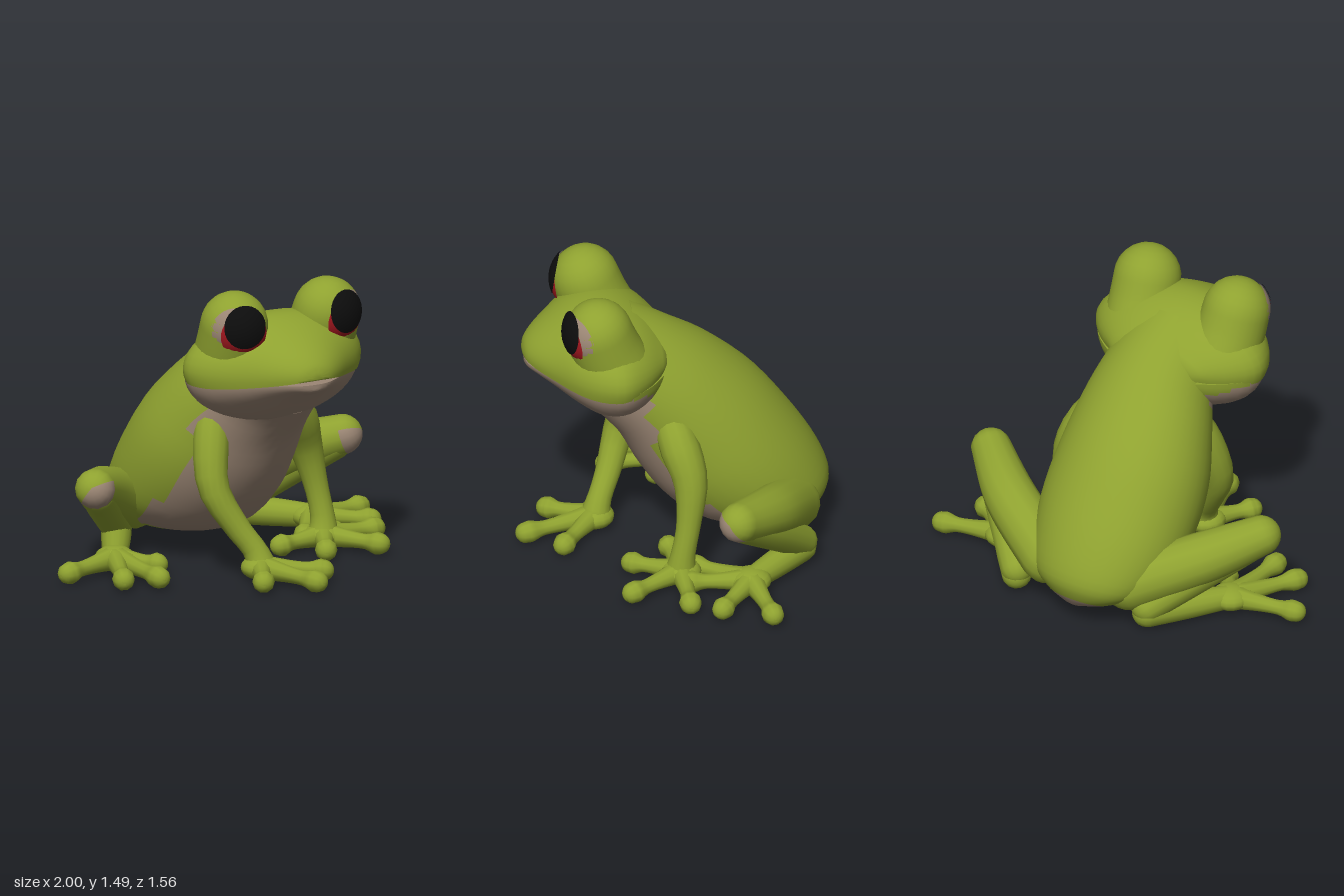
import * as THREE from 'three';
import { toCreasedNormals } from 'three/addons/utils/BufferGeometryUtils.js';

const flat = (name, color) => Object.assign(new THREE.MeshStandardMaterial({ color }), { name });
const green = flat('leaf green', 0x8fa230);
const tan = flat('belly tan', 0x9c8775);
const red = flat('iris red', 0xa3171f);
const black = flat('pupil black', 0x0d0d0d);

const V = (x, y, z) => new THREE.Vector3(x, y, z);

// Smoothly resample rows of numbers (Catmull-Rom on every column)
function smooth(rows, n) {
  const out = [];
  for (let s = 0; s <= n; s++) {
    const f = (s / n) * (rows.length - 1);
    const i = Math.min(Math.floor(f), rows.length - 2), t = f - i;
    const at = k => rows[Math.max(0, Math.min(rows.length - 1, k))];
    out.push(rows[i].map((_, c) => {
      const a = at(i - 1)[c], b = at(i)[c], d = at(i + 1)[c], e = at(i + 2)[c];
      return b + 0.5 * t * (d - a + t * (2 * a - 5 * b + 4 * d - e + t * (3 * (b - d) + e - a)));
    }));
  }
  return out;
}

// Skin over closed rings; isTan(ring, point) picks the second material
function loft(name, rings, isTan = () => false) {
  const n = rings[0].length, last = rings.length - 1;
  const pos = [], lists = [[], []];
  rings.forEach(r => r.forEach(p => pos.push(p.x, p.y, p.z)));
  for (const r of [rings[0], rings[last]]) {
    const c = r.reduce((s, p) => s.add(p), V(0, 0, 0)).divideScalar(n);
    pos.push(c.x, c.y, c.z);
  }
  const c0 = (last + 1) * n;
  for (let j = 0; j < n; j++) {
    const k = (j + 1) % n;
    lists[isTan(0, j) ? 1 : 0].push(c0, k, j);
    lists[isTan(last, j) ? 1 : 0].push(c0 + 1, last * n + j, last * n + k);
    for (let i = 0; i < last; i++) {
      const a = i * n + j, b = i * n + k;
      lists[isTan(i, j) ? 1 : 0].push(a, b, b + n, a, b + n, a + n);
    }
  }
  const g = new THREE.BufferGeometry();
  g.setAttribute('position', new THREE.Float32BufferAttribute(pos, 3));
  g.setIndex([...lists[0], ...lists[1]]);
  g.addGroup(0, lists[0].length, 0);
  g.addGroup(lists[0].length, lists[1].length, 1);
  const mesh = new THREE.Mesh(toCreasedNormals(g, 1.0), [green, tan]);
  mesh.name = name;
  return mesh;
}

// Round limb through rows of [x, y, z, radius] with domed ends
function limb(name, rows, { steps = 14, sides = 14, isTan } = {}) {
  const path = smooth(rows, steps);
  const p = path.map(r => V(r[0], r[1], r[2]));
  const run = p[steps].clone().sub(p[0]).normalize();
  const ref = Math.abs(run.y) > 0.7 ? V(0, 0, 1) : V(0, 1, 0);
  const rings = [];
  const ring = (i, shift, scale) => {
    const t = p[Math.min(steps, i + 1)].clone().sub(p[Math.max(0, i - 1)]).normalize();
    const u = ref.clone().cross(t).normalize(), v = t.clone().cross(u), r = path[i][3];
    rings.push(Array.from({ length: sides }, (_, j) => {
      const a = (j / sides) * Math.PI * 2;
      return p[i].clone().addScaledVector(t, shift * r)
        .addScaledVector(u, Math.cos(a) * r * scale).addScaledVector(v, Math.sin(a) * r * scale);
    }));
  };
  const dome = [0.2, 0.45, 0.7, 0.95, 1.2, 1.43];
  [...dome].reverse().forEach(a => ring(0, -Math.sin(a), Math.cos(a)));
  for (let i = 0; i <= steps; i++) ring(i, 0, 1);
  dome.forEach(a => ring(steps, Math.sin(a), Math.cos(a)));
  return loft(name, rings, isTan && ((i, j) => isTan(i / rings.length, ((j + 0.5) / sides) * Math.PI * 2)));
}

// Palm with thin digits that end in round pads
function hand(name, palm, tips) {
  const g = new THREE.Group();
  g.name = name;
  const pad = new THREE.Mesh(new THREE.SphereGeometry(1, 16, 10), green);
  pad.name = 'palm';
  pad.position.copy(palm);
  pad.scale.set(0.1, 0.06, 0.1);
  g.add(pad);
  tips.forEach(([x, z]) => {
    const tip = V(x, 0.07, z);
    const row = (f, r) => [...palm.clone().lerp(tip, f).toArray(), r];
    g.add(limb('digit', [row(0.1, 0.058), row(0.45, 0.043), row(0.75, 0.038), row(0.93, 0.055), row(1, 0.053)],
      { steps: 12, sides: 10 }));
  });
  return g;
}

// Trunk rows: back z, back y, belly z, belly y, half width, centre x
function trunk() {
  const rows = smooth([
    [-0.72, 0.13, -0.63, 0.1, 0.06, -0.07],
    [-0.765, 0.2, -0.52, 0.1, 0.19, -0.085],
    [-0.785, 0.3, -0.32, 0.11, 0.31, -0.085],
    [-0.72, 0.46, -0.09, 0.17, 0.385, -0.08],
    [-0.6, 0.65, 0.07, 0.31, 0.41, -0.07],
    [-0.42, 0.88, 0.18, 0.47, 0.395, -0.06],
    [-0.2, 1.08, 0.27, 0.65, 0.345, -0.03],
    [0.0, 1.215, 0.35, 0.76, 0.295, 0],
    [0.2, 1.325, 0.43, 0.85, 0.28, 0],
  ], 28);
  const n = 40;
  const rings = rows.map(([bz, by, fz, fy, w, cx]) => Array.from({ length: n }, (_, j) => {
    const a = (j / n) * Math.PI * 2, c = Math.cos(a), k = (1 + c) / 2;
    return V(cx + 0.05 * k + w * Math.sin(a), by + (fy - by) * k, bz + (fz - bz) * k);
  }));
  // Tan rump tip, a strip on each flank, then the belly
  return loft('body', rings, (i, j) => {
    const side = Math.min(j, n - 1 - j);
    if (i < 3) return true;
    if (i < 8) return side > 5 && side < 9;
    return side < (i < 13 ? 7 : i < 20 ? 6 : i < 23 ? 8 : 10);
  });
}

// Head rows: z, top y, bottom y, half width
function head() {
  const g = new THREE.Group();
  g.name = 'head';
  const rows = smooth([
    [0.05, 1.2, 0.95, 0.24], [0.15, 1.29, 0.87, 0.39], [0.27, 1.35, 0.82, 0.485],
    [0.39, 1.365, 0.825, 0.465], [0.5, 1.335, 0.89, 0.385], [0.6, 1.28, 0.96, 0.265],
    [0.68, 1.22, 1.01, 0.165], [0.725, 1.17, 1.03, 0.09], [0.74, 1.13, 1.045, 0.03],
  ], 26);
  const n = 24;
  const arc = (z, y, h, w, start, span) => Array.from({ length: n + 1 }, (_, j) => {
    const a = start + (j / n) * span;
    return V(w * Math.cos(a), y + h * Math.sin(a), z);
  });
  // The upper lip curls in a little over the narrower jaw
  const curl = 0.27;
  g.add(loft('upper head', rows.map(([z, top, , w]) => arc(z, 1.11, top - 1.11, w, -curl, Math.PI + 2 * curl))));
  g.add(loft('lower jaw', rows.map(([z, , bot, w]) => arc(z - 0.01, 1.075, 1.075 - bot, w * 0.965, Math.PI, Math.PI)),
    (i, j) => Math.sin(((j + 0.5) / n) * Math.PI) > (0.24 - rows[i][0]) * 3));

  // Eyes and nostrils on both sides
  for (const s of [1, -1]) {
    g.add(limb('eye bulge', [[s * 0.25, 1.14, 0.31, 0.18], [s * 0.26, 1.24, 0.355, 0.173],
      [s * 0.268, 1.343, 0.393, 0.167]], { sides: 28 }));
    const cap = (name, r, angle, dir, mat) => {
      const m = new THREE.Mesh(new THREE.SphereGeometry(r, 32, 12, 0, Math.PI * 2, 0, angle), mat);
      m.name = name;
      m.position.set(s * 0.26, 1.342, 0.395);
      m.quaternion.setFromUnitVectors(V(0, 1, 0), V(s * dir[0], dir[1], dir[2]).normalize());
      g.add(m);
    };
    cap('eye rim', 0.173, 0.84, [0.5, -0.1, 0.86], tan);
    cap('iris', 0.176, 0.73, [0.25, -0.14, 0.95], red);
    cap('pupil', 0.18, 0.64, [0.23, 0.14, 0.96], black);
    const nostril = new THREE.Mesh(new THREE.SphereGeometry(0.011, 8, 6), black);
    nostril.name = 'nostril';
    nostril.position.set(s * 0.08, 1.19, 0.672);
    g.add(nostril);
  }
  return g;
}

export function createModel() {
  const frog = new THREE.Group();
  frog.name = 'frog';
  frog.add(trunk(), head());

  // Front legs: the right one reaches forward
  frog.add(limb('left front leg', [[0.22, 0.85, 0.05, 0.08], [0.34, 0.7, 0.0, 0.1], [0.415, 0.54, -0.045, 0.085],
    [0.465, 0.34, -0.03, 0.061], [0.487, 0.18, 0.0, 0.06], [0.485, 0.1, 0.01, 0.075]]));
  frog.add(hand('left front foot', V(0.485, 0.08, 0.01), [[0.79, 0], [0.65, 0.27], [0.36, 0.24], [0.22, 0.04]]));
  frog.add(limb('right front leg', [[-0.2, 0.84, 0.1, 0.08], [-0.25, 0.7, 0.15, 0.09], [-0.282, 0.48, 0.22, 0.078],
    [-0.195, 0.29, 0.285, 0.064], [-0.12, 0.17, 0.34, 0.06], [-0.1, 0.1, 0.36, 0.075]]));
  frog.add(hand('right front foot', V(-0.1, 0.08, 0.37), [[0.01, 0.72], [-0.22, 0.59], [0.15, 0.55]]));

  // Hind legs: folded thigh with a pale patch at the front of the knee, shank and long foot
  const hind = (side, hip, mid, knee, ankle, palm, tips) => {
    const s = Math.sign(knee[0]);
    frog.add(limb(side + ' thigh', [[...hip, 0.14], [...mid, 0.13], [...knee, 0.1]],
      { isTan: (f, a) => f > 0.74 && Math.sin(a) < 0.3 && s * Math.cos(a) < 0.55 }));
    const between = (a, b) => a.map((v, i) => (v + b[i]) / 2);
    const bend = between(knee, ankle), arch = between(ankle, palm);
    frog.add(limb(side + ' shank', [[knee[0] - s * 0.03, knee[1] - 0.04, knee[2] - 0.02, 0.085],
      [...bend, 0.09], [...ankle, 0.08]]));
    frog.add(limb(side + ' hind instep', [[ankle[0], 0.095, ankle[2], 0.075], [arch[0], 0.09, arch[2], 0.07], [...palm, 0.058]]));
    frog.add(hand(side + ' hind foot', V(...palm), tips));
  };
  hind('left', [0.18, 0.25, -0.575], [0.5, 0.395, -0.435], [0.755, 0.495, -0.245], [0.35, 0.13, -0.6], [0.62, 0.085, -0.32],
    [[0.945, -0.39], [0.86, -0.15], [0.58, -0.02], [0.42, -0.06]]);
  hind('right', [-0.28, 0.24, -0.53], [-0.56, 0.37, -0.32], [-0.765, 0.465, -0.1], [-0.38, 0.13, -0.52], [-0.62, 0.085, -0.15],
    [[-0.945, -0.06], [-0.78, 0.19], [-0.61, 0.25], [-0.48, 0.02]]);
  return frog;
}
